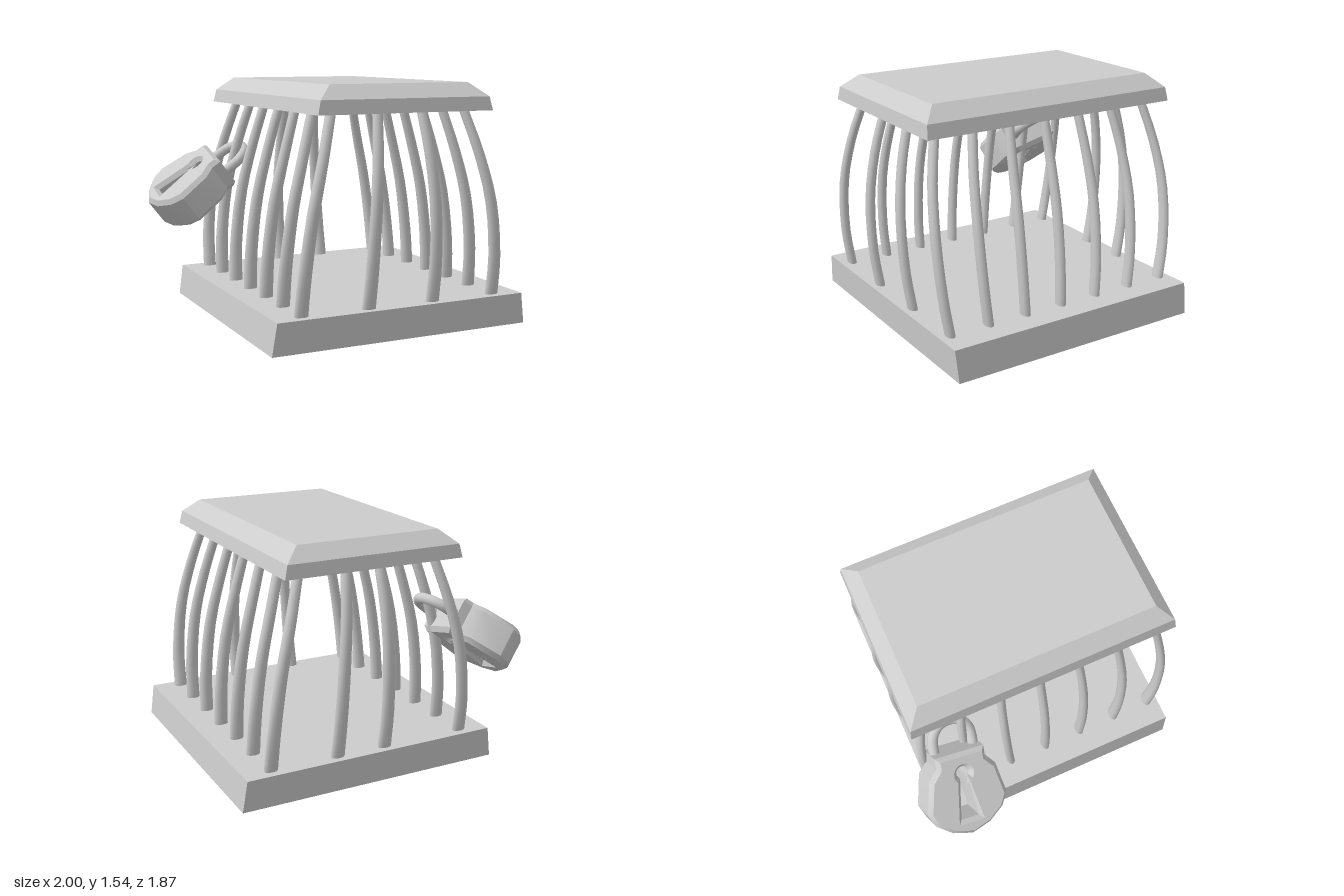
import * as THREE from 'three';
import { toCreasedNormals, mergeVertices } from 'three/addons/utils/BufferGeometryUtils.js';

const mat = new THREE.MeshStandardMaterial({ color: 0xcccccc });
const CX = 0.12, CZ = 0.055;

function addMesh(parent, name, geometry) {
  const mesh = new THREE.Mesh(geometry, mat);
  mesh.name = name;
  parent.add(mesh);
  return mesh;
}

// Stack of rectangles, each level = [y, half width, half depth]
function rectStack(levels) {
  const n = levels.length - 1;
  const geo = new THREE.BoxGeometry(2, n, 2, 1, n, 1);
  const p = geo.attributes.position;
  for (let i = 0; i < p.count; i++) {
    const [y, hx, hz] = levels[Math.round(p.getY(i) + n / 2)];
    p.setXYZ(i, CX + p.getX(i) * hx, y, CZ + p.getZ(i) * hz);
  }
  return toCreasedNormals(geo, 0.6);
}

// Bulging bar profile: x = half width of cage, y = height, z = half depth of cage
const profile = new THREE.CatmullRomCurve3([
  [0.665, 0.18, 0.793], [0.655, 0.45, 0.835], [0.61, 0.8, 0.85],
  [0.535, 1.1, 0.82], [0.45, 1.39, 0.752],
].map((a) => new THREE.Vector3(...a)));

// One bar; u and w place it across the cage's width and depth (-1 to 1)
function barGeometry(u, w) {
  const geo = new THREE.CylinderGeometry(1, 1, 1, 10, 12, true);
  const p = geo.attributes.position;
  for (let i = 0; i < p.count; i++) {
    const t = p.getY(i) + 0.5;
    const c = profile.getPoint(t);
    const rx = 0.045 - 0.013 * t;
    p.setXYZ(i, CX + u * c.x + p.getX(i) * rx, c.y, CZ + w * c.z + p.getZ(i) * 0.028);
  }
  geo.deleteAttribute('uv');
  geo.deleteAttribute('normal');
  const merged = mergeVertices(geo, 1e-4);
  merged.computeVertexNormals();
  return merged;
}

function createPadlock() {
  const lock = new THREE.Group();
  lock.name = 'padlock';

  // Shield-shaped body with a keyhole right through it
  const half = [[0.165, 0.32], [0.165, 0.25], [0.225, 0.18], [0.27, -0.03], [0.23, -0.12], [0.13, -0.2]];
  const outline = [...half, [0, -0.24], ...half.map(([x, y]) => [-x, y]).reverse()];
  const shape = new THREE.Shape(outline.map(([x, y]) => new THREE.Vector2(x, y)));
  const hole = new THREE.Path();
  hole.moveTo(-0.06, -0.13);
  hole.lineTo(0.06, -0.13);
  hole.lineTo(0.022, 0.145);
  hole.absarc(0, 0.18, 0.042, -1.02, Math.PI + 1.02, false);
  hole.closePath();
  shape.holes.push(hole);
  const body = new THREE.ExtrudeGeometry(shape, {
    depth: 0.19, bevelEnabled: true, bevelThickness: 0.03, bevelSize: 0.025,
    bevelOffset: -0.025, bevelSegments: 1, curveSegments: 8,
  });
  body.translate(0, 0, -0.095);
  addMesh(lock, 'lockBody', toCreasedNormals(body, 0.5));

  // Shackle
  const pts = [new THREE.Vector3(-0.13, 0.26, 0)];
  for (let i = 0; i <= 8; i++) {
    const a = Math.PI * (1 - i / 8);
    pts.push(new THREE.Vector3(0.13 * Math.cos(a), 0.38 + 0.13 * Math.sin(a), 0));
  }
  pts.push(new THREE.Vector3(0.13, 0.26, 0));
  addMesh(lock, 'shackle', new THREE.TubeGeometry(new THREE.CatmullRomCurve3(pts), 32, 0.034, 10));

  // Lean the lock so the shackle points into the cage
  const up = new THREE.Vector3(0.783, 0.592, 0.19).normalize();
  const face = new THREE.Vector3(-0.62, 0.766, 0.169);
  face.addScaledVector(up, -face.dot(up)).normalize();
  const side = new THREE.Vector3().crossVectors(up, face);
  lock.quaternion.setFromRotationMatrix(new THREE.Matrix4().makeBasis(side, up, face));
  lock.position.set(-0.755, 0.76, -0.65);
  return lock;
}

export function createModel() {
  const model = new THREE.Group();
  model.name = 'cage';

  addMesh(model, 'base', rectStack([[0, 0.875, 0.86], [0.2, 0.845, 0.87]]));
  addMesh(model, 'roof', rectStack([[1.37, 0.59, 0.875], [1.455, 0.57, 0.865], [1.54, 0.47, 0.775]]));

  // Seven bars along each side, two more on the front and the back
  const bars = new THREE.Group();
  bars.name = 'bars';
  for (const side of [-1, 1]) {
    for (let i = -3; i <= 3; i++) addMesh(bars, 'sideBar', barGeometry(side, i / 3));
  }
  for (const u of [-1 / 3, 1 / 3]) addMesh(bars, 'frontBar', barGeometry(u, 1.01));
  for (const u of [-0.16, 1 / 3]) addMesh(bars, 'backBar', barGeometry(u, -1.01));
  model.add(bars);

  model.add(createPadlock());
  return model;
}
